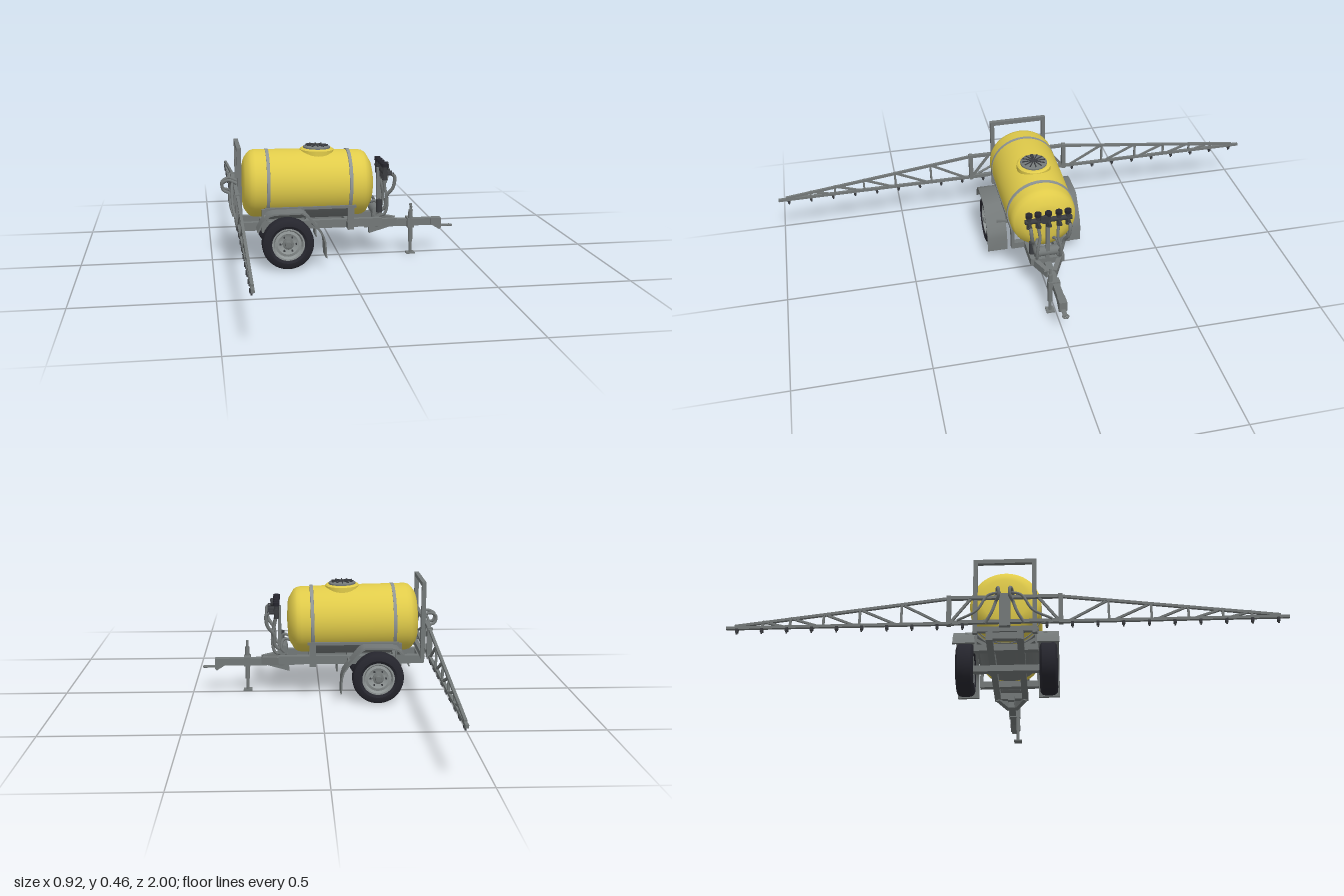
import * as THREE from 'three';
import { toCreasedNormals } from 'three/addons/utils/BufferGeometryUtils.js';

const mat = (name, color, side = THREE.FrontSide) => {
  const m = new THREE.MeshStandardMaterial({ color, side });
  m.name = name;
  return m;
};
const V = (x, y, z) => new THREE.Vector3(x, y, z);

export function createModel() {
  const root = new THREE.Group();
  root.name = 'trailedSprayer';
  const yellow = mat('tankYellow', 0xe0cb4a);
  const steel = mat('frameGrey', 0x737878);
  const light = mat('rimGrey', 0x8f9595);
  const rubber = mat('tyreBlack', 0x26262e);
  const dark = mat('fittingDark', 0x3a3c40);

  // helpers
  const add = (name, geo, m, parent = root) => {
    const mesh = new THREE.Mesh(geo, m);
    mesh.name = name;
    parent.add(mesh);
    return mesh;
  };
  const box = (name, x0, x1, y0, y1, z0, z1, m = steel, parent = root) => {
    const b = add(name, new THREE.BoxGeometry(x1 - x0, y1 - y0, z1 - z0), m, parent);
    b.position.set((x0 + x1) / 2, (y0 + y1) / 2, (z0 + z1) / 2);
    return b;
  };
  const bar = (name, a, b, w, m = steel, parent = root, d = w) => {
    const mesh = add(name, new THREE.BoxGeometry(w, d, a.distanceTo(b)), m, parent);
    mesh.position.copy(a).add(b).multiplyScalar(0.5);
    mesh.lookAt(b);
    return mesh;
  };
  const rod = (name, a, b, r, m = steel, parent = root) => {
    const g = new THREE.CylinderGeometry(r, r, a.distanceTo(b), 16).rotateX(Math.PI / 2);
    const mesh = add(name, g, m, parent);
    mesh.position.copy(a).add(b).multiplyScalar(0.5);
    mesh.lookAt(b);
    return mesh;
  };
  const hose = (name, pts, r, m = steel, parent = root) =>
    add(name, new THREE.TubeGeometry(new THREE.CatmullRomCurve3(pts.map(p => V(...p))), 28, r, 8), m, parent);
  const lathe = (pts, seg = 48) =>
    toCreasedNormals(new THREE.LatheGeometry(pts.map(p => new THREE.Vector2(...p)), seg), 0.6);
  // side profile in x/y swept from z0 to z1
  const plate = (name, pts, z0, z1, m = steel, parent = root) => {
    const g = new THREE.ExtrudeGeometry(new THREE.Shape(pts.map(p => new THREE.Vector2(...p))),
      { depth: z1 - z0, bevelEnabled: false }).translate(0, 0, z0);
    return add(name, toCreasedNormals(g, 0.6), m, parent);
  };

  // tank, slightly tilted toward the drawbar
  const tank = new THREE.Group();
  tank.name = 'tank';
  tank.position.set(-0.128, 0.3, 0);
  tank.rotation.z = -0.02;
  root.add(tank);
  const body = lathe([[0, -0.252], [0.05, -0.251], [0.085, -0.248], [0.1, -0.243], [0.118, -0.23], [0.127, -0.22],
    [0.131, -0.205], [0.131, 0], [0.128, 0.2], [0.125, 0.215], [0.118, 0.227], [0.085, 0.247], [0.065, 0.252], [0, 0.255]]);
  add('tankBody', body.rotateZ(-Math.PI / 2), yellow, tank);
  for (const x of [-0.157, 0.158]) {
    const strap = lathe([[0.128, -0.007], [0.1325, -0.006], [0.1325, 0.006], [0.128, 0.007]]);
    add('tankStrap', strap.rotateZ(-Math.PI / 2), light, tank).position.x = x;
  }
  add('fillerNeck', lathe([[0.066, -0.03], [0.066, 0.003], [0.06, 0.008], [0, 0.008]]), yellow, tank).position.set(0.038, 0.129, 0);
  add('fillerLid', lathe([[0.052, 0], [0.052, 0.006], [0.046, 0.01], [0, 0.011]]), steel, tank).position.set(0.038, 0.136, 0);
  for (let i = 0; i < 6; i++) {
    const r = box('lidRib', -0.045, 0.045, 0.146, 0.149, -0.002, 0.002, dark, tank);
    r.position.x = 0.038;
    r.rotation.y = i * Math.PI / 6;
  }
  box('lidCatch', 0.0, 0.022, 0.146, 0.153, -0.006, 0.006, dark, tank);

  // cradle sheet under the tank
  const cradle = [];
  for (let i = 0; i <= 24; i++) cradle.push([0.137, i]);
  const arc = (r, n = 24) => Array.from({ length: n + 1 }, (_, i) => {
    const a = -Math.PI / 2 + (i / n * 2 - 1) * 0.98;
    return new THREE.Vector2(r * Math.cos(a), r * Math.sin(a));
  });
  const cradleShape = new THREE.Shape([...arc(0.138), ...arc(0.133).reverse()]);
  const cradleGeo = new THREE.ExtrudeGeometry(cradleShape, { depth: 0.31, bevelEnabled: false });
  add('cradle', toCreasedNormals(cradleGeo, 0.5).rotateY(Math.PI / 2), steel).position.set(-0.28, 0.3, 0);

  // chassis
  for (const s of [-1, 1]) {
    box('frameRail', -0.405, 0.16, 0.13, 0.162, s * 0.055 - 0.012, s * 0.055 + 0.012);
    box('cradleRail', -0.3, 0.05, 0.219, 0.229, s * 0.114 - 0.006, s * 0.114 + 0.006);
    for (const x of [-0.3, 0.03]) {
      box('cradlePost', x - 0.012, x + 0.012, 0.15, 0.224, s * 0.112 - 0.006, s * 0.112 + 0.006);
    }
    bar('drawbarBrace', V(0.14, 0.14, s * 0.055), V(0.225, 0.132, s * 0.012), 0.018, steel, root, 0.03);
  }
  for (const x of [-0.395, -0.3, -0.12, 0.03, 0.15]) {
    const w = x === -0.3 || x === 0.03 ? 0.118 : 0.06;
    box('crossMember', x - 0.012, x + 0.012, 0.133, 0.158, -w, w);
  }
  box('drawbar', 0.1, 0.41, 0.112, 0.14, -0.013, 0.013);
  plate('drawbarGusset', [[0.12, 0.088], [0.205, 0.112], [0.205, 0.135], [0.12, 0.135]], -0.012, 0.012);
  plate('hitchBlock', [[0.37, 0.115], [0.405, 0.093], [0.412, 0.1], [0.412, 0.14], [0.37, 0.14]], -0.015, 0.015);
  box('hitchTongue', 0.405, 0.447, 0.103, 0.109, -0.008, 0.008);
  add('hitchEye', new THREE.TorusGeometry(0.01, 0.0035, 8, 20).rotateX(Math.PI / 2), steel).position.set(0.448, 0.106, 0);

  // parking jack
  rod('jackTube', V(0.285, 0.05, 0.02), V(0.285, 0.18, 0.02), 0.009);
  rod('jackLeg', V(0.285, 0.004, 0.02), V(0.285, 0.06, 0.02), 0.006);
  rod('jackScrew', V(0.285, 0.18, 0.02), V(0.285, 0.206, 0.02), 0.005);
  rod('jackHandle', V(0.285, 0.196, 0.0), V(0.285, 0.196, 0.045), 0.003);
  box('jackFoot', 0.268, 0.302, 0.002, 0.007, 0.004, 0.036);
  box('jackClamp', 0.272, 0.298, 0.108, 0.146, -0.016, 0.03);

  // axle, wheels and mudguards
  box('axle', -0.231, -0.205, 0.088, 0.112, -0.14, 0.14);
  const outer = [[-0.335, 0.155], [-0.318, 0.19], [-0.292, 0.217], [-0.27, 0.223], [-0.165, 0.224], [-0.148, 0.214],
    [-0.1, 0.155], [-0.083, 0.13], [-0.076, 0.105], [-0.073, 0.045]];
  const inner = outer.map(([x, y]) => {
    const d = Math.hypot(x + 0.215, y - 0.1);
    return [x - (x + 0.215) / d * 0.006, y - (y - 0.1) / d * 0.006];
  });
  const guardProfile = [...outer, ...inner.reverse()];
  for (const s of [-1, 1]) {
    const side = s > 0 ? 'left' : 'right';
    const wheel = new THREE.Group();
    wheel.name = side + 'Wheel';
    wheel.position.set(-0.218, 0.1, s * 0.153);
    wheel.rotation.x = s * Math.PI / 2;
    root.add(wheel);
    add('tyre', lathe([[0.06, -0.026], [0.072, -0.033], [0.088, -0.031], [0.096, -0.024], [0.0985, -0.012], [0.0985, 0.012],
      [0.096, 0.024], [0.088, 0.031], [0.072, 0.033], [0.06, 0.026], [0.058, 0], [0.06, -0.026]]), rubber, wheel);
    add('rim', lathe([[0, -0.014], [0.05, -0.014], [0.056, -0.028], [0.062, -0.028], [0.062, 0.028], [0.056, 0.028],
      [0.05, 0.014], [0.04, 0.017], [0.026, 0.01], [0, 0.01]]), light, wheel);
    add('hub', lathe([[0.021, 0.008], [0.021, 0.02], [0.013, 0.023], [0.011, 0.032], [0, 0.033]], 24), steel, wheel);
    for (let i = 0; i < 6; i++) {
      const a = i * Math.PI / 3;
      add('wheelNut', new THREE.CylinderGeometry(0.0035, 0.0035, 0.01, 6), dark, wheel)
        .position.set(0.03 * Math.cos(a), 0.016, 0.03 * Math.sin(a));
    }
    plate(side + 'Mudguard', guardProfile, s > 0 ? 0.113 : -0.193, s > 0 ? 0.193 : -0.113);
    bar('mudguardBracket', V(-0.3, 0.152, s * 0.06), V(-0.3, 0.205, s * 0.15), 0.012);
    bar('mudguardBracket', V(-0.11, 0.152, s * 0.06), V(-0.11, 0.165, s * 0.15), 0.012);
  }

  // rear mast
  for (const s of [-1, 1]) box('mastPost', -0.401, -0.385, 0.16, 0.46, s * 0.107 - 0.008, s * 0.107 + 0.008);
  box('mastTop', -0.401, -0.385, 0.444, 0.46, -0.115, 0.115);
  box('mastLowerBeam', -0.401, -0.385, 0.165, 0.185, -0.115, 0.115);
  for (const y of [0.2, 0.298]) box('boomCarrier', -0.413, -0.399, y - 0.006, y + 0.006, -0.2, 0.2);
  box('liftPlate', -0.417, -0.4, 0.18, 0.31, -0.02, 0.02);

  // folding spray booms
  const bx = -0.405, topY = z => 0.298 - (z - 0.2) * 0.115;
  for (const s of [-1, 1]) {
    const boom = new THREE.Group();
    boom.name = s > 0 ? 'leftBoom' : 'rightBoom';
    root.add(boom);
    const P = (y, z) => V(bx, y, s * z);
    bar('lowerChord', P(0.197, 0.13), P(0.197, 1), 0.011, steel, boom);
    bar('upperChord', P(topY(0.2), 0.2), P(0.204, 0.97), 0.01, steel, boom);
    box('boomHinge', bx - 0.01, bx + 0.01, 0.19, 0.306, s * 0.2 - 0.008, s * 0.2 + 0.008, steel, boom);
    bar('carrierStrut', P(0.298, 0.12), P(0.2, 0.195), 0.009, steel, boom);
    const stations = [0.21, 0.37, 0.52, 0.65, 0.77, 0.87];
    stations.forEach((z, i) => {
      if (i) bar('boomUpright', P(0.197, z), P(topY(z), z), 0.008, steel, boom);
      if (i < stations.length - 1) bar('boomDiagonal', P(0.197, z + 0.015), P(topY(stations[i + 1]), stations[i + 1]), 0.008, steel, boom);
    });
    // nozzles below the lower chord
    for (let i = 0; i < 10; i++) {
      const z = s * (0.15 + i * 0.09);
      box('nozzleBody', bx - 0.008, bx + 0.004, 0.179, 0.193, z - 0.005, z + 0.005, dark, boom);
      rod('nozzleTip', V(bx - 0.002, 0.172, z), V(bx - 0.002, 0.182, z), 0.003, dark, boom);
    }
    // rear feed hoses
    hose('rearHose', [[-0.4, 0.31, s * 0.03], [-0.43, 0.322, s * 0.025], [-0.455, 0.308, s * 0.02], [-0.45, 0.282, s * 0.02],
      [-0.428, 0.272, s * 0.03], [-0.426, 0.23, s * 0.045], [-0.415, 0.19, s * 0.07]], 0.006);
    hose('boomHose', [[-0.415, 0.315, s * 0.015], [-0.42, 0.3, s * 0.06], [-0.42, 0.24, s * 0.1], [-0.413, 0.205, s * 0.17]], 0.005);
  }

  // pump and control valves at the front of the tank
  box('controlPost', 0.15, 0.163, 0.15, 0.35, -0.007, 0.007);
  rod('valveManifold', V(0.168, 0.345, -0.09), V(0.168, 0.345, 0.09), 0.01, dark);
  for (const z of [-0.075, -0.04, 0, 0.04, 0.075]) {
    rod('valve', V(0.168, 0.315, z), V(0.168, 0.37, z), 0.0095, dark);
    rod('valveKnob', V(0.168, 0.366, z), V(0.168, 0.379, z), 0.013, rubber);
    rod('valveOutlet', V(0.165, 0.338, z), V(0.203, 0.338, z), 0.006, dark);
  }
  add('pressureGauge', new THREE.CylinderGeometry(0.016, 0.016, 0.012, 24).rotateZ(Math.PI / 2), dark).position.set(0.186, 0.36, 0.02);
  for (const s of [-1, 1]) {
    hose('valveHose', [[0.195, 0.338, s * 0.075], [0.206, 0.33, s * 0.075], [0.203, 0.285, s * 0.07], [0.18, 0.25, s * 0.06],
      [0.173, 0.2, s * 0.05], [0.145, 0.18, s * 0.04]], 0.007);
    hose('returnHose', [[0.168, 0.32, s * 0.04], [0.178, 0.27, s * 0.035], [0.185, 0.22, s * 0.045], [0.172, 0.172, s * 0.045],
      [0.13, 0.168, s * 0.03]], 0.006);
    hose('suctionHose', [[0.115, 0.22, s * 0.03], [0.14, 0.225, s * 0.04], [0.15, 0.19, s * 0.05], [0.13, 0.165, s * 0.04]], 0.006);
  }
  rod('pump', V(0.145, 0.183, -0.05), V(0.145, 0.183, 0.05), 0.02, steel);
  rod('filterBowl', V(0.15, 0.185, 0.06), V(0.15, 0.235, 0.06), 0.012, dark);
  return root;
}
